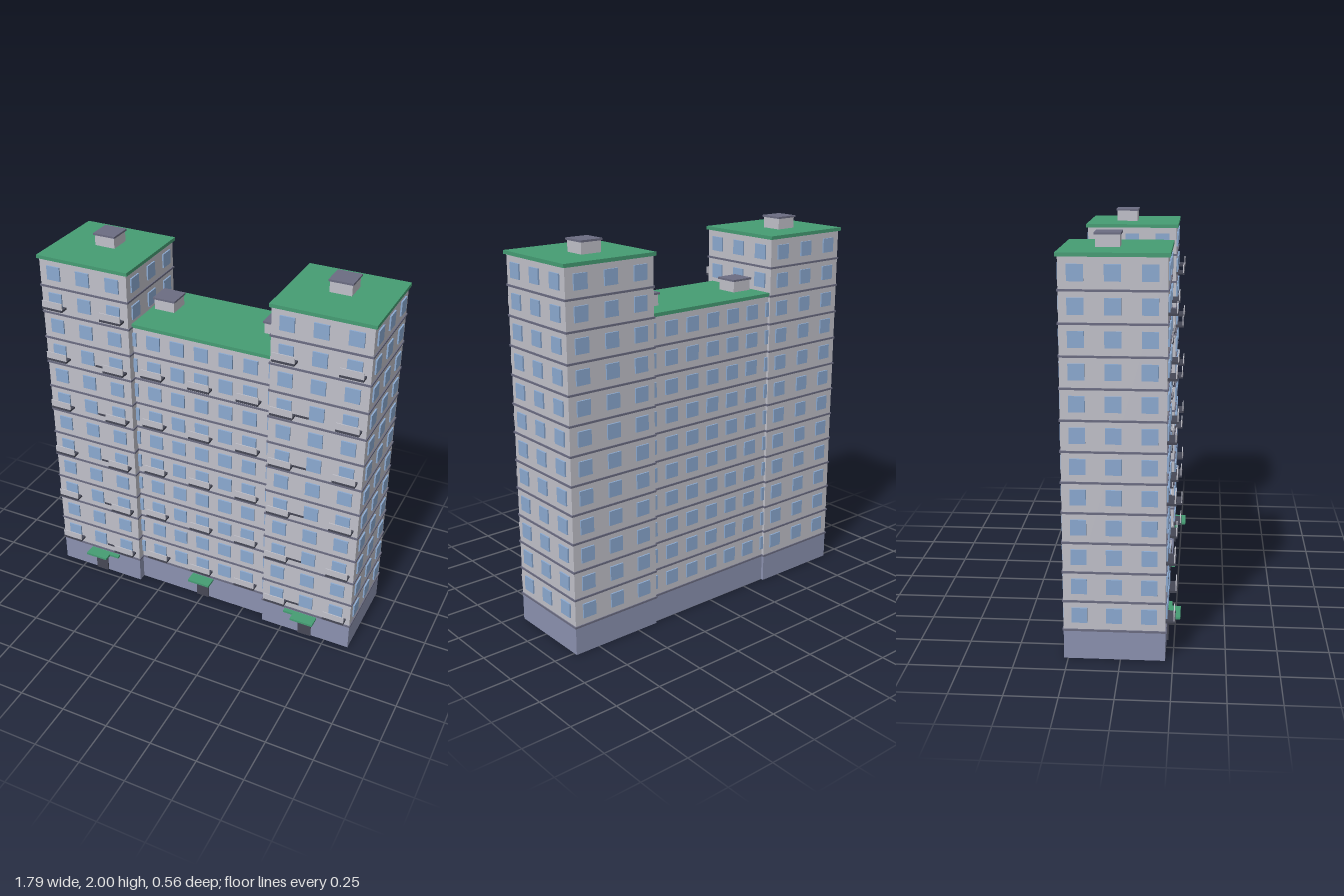
import * as THREE from 'three';
import { mergeGeometries } from 'three/addons/utils/BufferGeometryUtils.js';

const mat = (name, color) => {
  const m = new THREE.MeshStandardMaterial({ color });
  m.name = name;
  return m;
};

const BASE = 0.149;      // top of the plinth
const FLOOR = 0.1473;    // storey height
const WIN = 0.075;       // window size
const PLATE = 0.008;     // thickness of windows and doors

// Box given by its x, y and z ranges
function box(x0, x1, y0, y1, z0, z1) {
  return new THREE.BoxGeometry(x1 - x0, y1 - y0, z1 - z0)
    .translate((x0 + x1) / 2, (y0 + y1) / 2, (z0 + z1) / 2);
}

export function createModel() {
  const wall = mat('wall grey', 0xc0c0c9);
  const plinthBlue = mat('plinth blue', 0x8b91af);
  const green = mat('roof green', 0x459c73);
  const glass = mat('window blue', 0x8ba9d0);
  const trim = mat('trim grey', 0x6b6c82);
  const dark = mat('dark grey', 0x464856);

  const model = new THREE.Group();
  model.name = 'apartmentBlock';

  // One block: a tower with its windows, bands, balconies, entrances and roof
  function block(name, o) {
    const { cx, half, z0, z1, floors } = o;
    const g = new THREE.Group();
    g.name = name;
    const x0 = cx - half, x1 = cx + half;
    const top = BASE + floors * FLOOR;
    const add = (part, material, boxes) => {
      const mesh = new THREE.Mesh(mergeGeometries(boxes), material);
      mesh.name = part;
      g.add(mesh);
    };

    add('plinth', plinthBlue, [box(x0, x1, 0, BASE, z0, z1)]);
    add('walls', wall, [box(x0, x1, BASE, top, z0, z1)]);
    add('roof', green, [box(x0 - 0.01, x1 + 0.01, top, top + 0.018, z0 - 0.01, z1 + 0.01)]);

    const bands = [], windows = [], slabs = [], rails = [];
    for (let f = 0; f < floors; f++) {
      const y = BASE + f * FLOOR;
      bands.push(box(x0 - 0.005, x1 + 0.005, y - 0.005, y + 0.005, z0 - 0.005, z1 + 0.005));

      // Front and back windows
      const w0 = y + 0.078 - WIN / 2, w1 = w0 + WIN;
      for (const dx of o.columns) {
        const a = cx + dx - WIN / 2, b = a + WIN;
        windows.push(box(a, b, w0, w1, z1, z1 + PLATE), box(a, b, w0, w1, z0 - PLATE, z0));
      }
      // Side windows, on each exposed wall
      for (const side of [-1, 1]) {
        if (f < o.sideFrom(side)) continue;
        const x = cx + side * half;
        for (const dz of [-0.165, 0, 0.165]) {
          const z = (z0 + z1) / 2 + dz;
          windows.push(box(Math.min(x, x + side * PLATE), Math.max(x, x + side * PLATE),
            w0, w1, z - WIN / 2, z + WIN / 2));
        }
      }
      // Balconies on every second floor: slab and front panel
      if (f % 2 === 0) {
        for (const dx of o.balconies) {
          const a = cx + dx - 0.059, b = a + 0.118, s = y + 0.036;
          slabs.push(box(a, b, s, s + 0.011, z1, z1 + 0.045));
          rails.push(box(a, b, s + 0.011, s + 0.047, z1 + 0.037, z1 + 0.042));
        }
      }
    }
    add('floorBands', trim, bands);
    add('windows', glass, windows);
    add('balconySlabs', dark, slabs);
    add('balconyPanels', wall, rails);

    // Entrances
    add('doors', dark, o.doors.map(dx =>
      box(cx + dx - 0.037, cx + dx + 0.037, 0, 0.125, z1, z1 + PLATE)));
    add('canopies', green, o.doors.map(dx =>
      box(cx + dx - 0.064, cx + dx + 0.064, 0.125, 0.137, z1, z1 + 0.066)));

    // Rooftop stair houses
    const r = top + 0.018;
    add('stairHouses', wall, o.houses.map(([x, z]) =>
      box(x - 0.056, x + 0.056, r, r + 0.056, z - 0.056, z + 0.056)));
    add('stairHouseCaps', trim, o.houses.map(([x, z]) =>
      box(x - 0.062, x + 0.062, r + 0.056, r + 0.066, z - 0.062, z + 0.062)));
    model.add(g);
  }

  // Lower middle block, with details running on slightly into the wings
  block('middleBlock', {
    cx: 0, half: 0.385, z0: -0.255, z1: 0.17, floors: 10,
    columns: [-3, -2, -1, 0, 1, 2, 3].map(i => i * 0.1343),
    sideFrom: () => Infinity,
    balconies: [-0.535, -0.268, 0, 0.268, 0.535],
    doors: [-0.58, 0, 0.58],
    houses: [[-0.307, -0.08], [0.307, -0.08]],
  });

  // Taller wings
  for (const side of [-1, 1]) {
    block(side < 0 ? 'rightWing' : 'leftWing', {
      cx: side * 0.635, half: 0.25, z0: -0.27, z1: 0.213, floors: 12,
      columns: [-0.169, 0, 0.169],
      sideFrom: s => (s === side ? 0 : 10),
      balconies: [-0.169, 0.169],
      doors: [0],
      houses: [[side * 0.635, -0.068]],
    });
  }
  return model;
}
